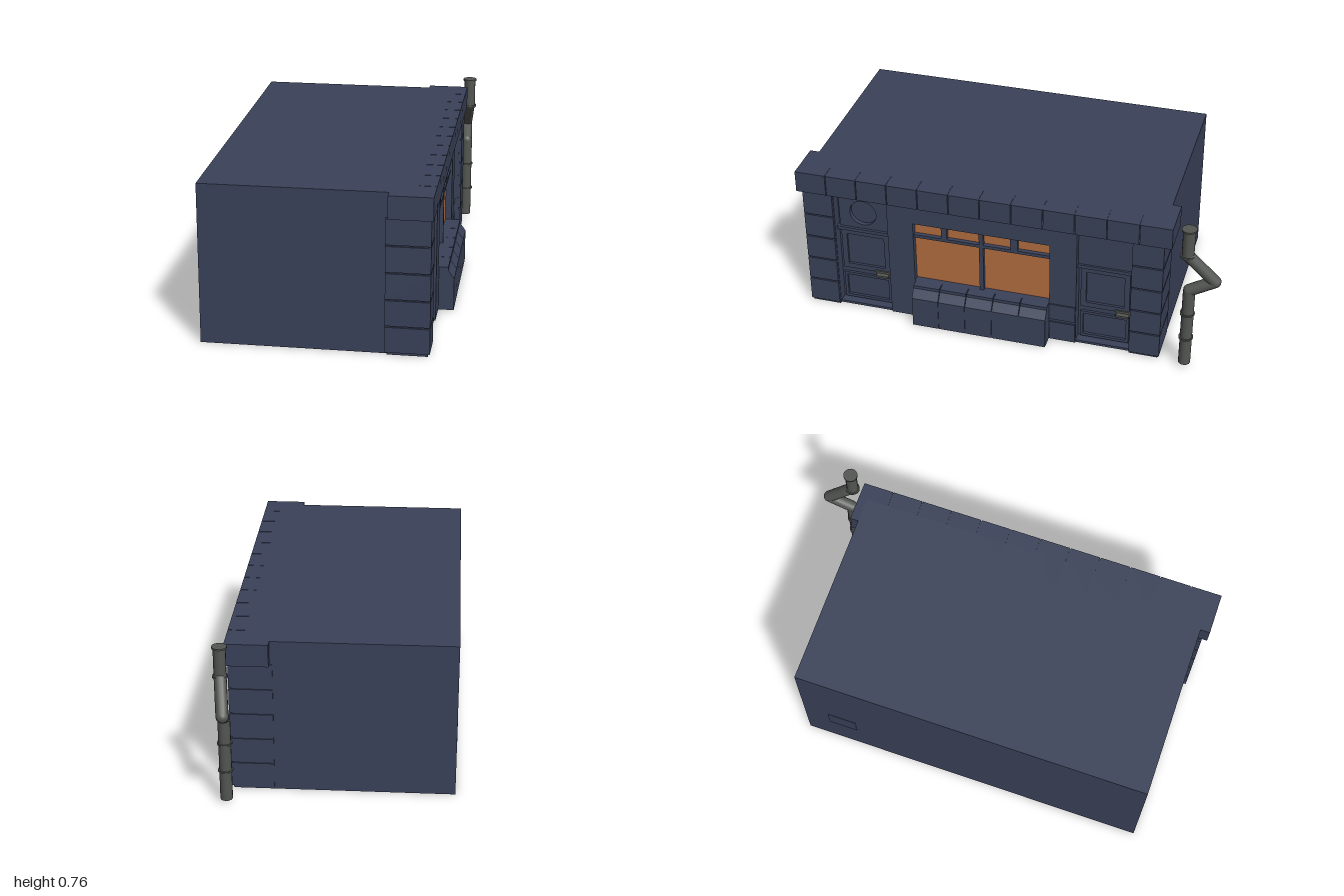
import * as THREE from 'three';

const navy = new THREE.MeshStandardMaterial({ color: 0x3a4259 });
navy.name = 'navy stone';
const amber = new THREE.MeshStandardMaterial({ color: 0xb56e40 });
amber.name = 'amber glass';
const iron = new THREE.MeshStandardMaterial({ color: 0x535652 });
iron.name = 'iron';

function add(parent, name, geometry, material) {
  const mesh = new THREE.Mesh(geometry, material);
  mesh.name = name;
  parent.add(mesh);
  return mesh;
}

// Box given by its limits on each axis
function block(parent, name, x0, x1, y0, y1, z0, z1, material = navy) {
  const g = new THREE.BoxGeometry(x1 - x0, y1 - y0, z1 - z0);
  g.translate((x0 + x1) / 2, (y0 + y1) / 2, (z0 + z1) / 2);
  return add(parent, name, g, material);
}

// Rectangle in the street-facing plane, whose horizontal axis is -z
function rect(z0, z1, y0, y1, Type = THREE.Shape) {
  return new Type([[-z1, y0], [-z0, y0], [-z0, y1], [-z1, y1]].map(p => new THREE.Vector2(...p)));
}

// Shape in the street-facing plane pushed out from x0 to x1
function slab(parent, name, shape, x0, x1) {
  const g = new THREE.ExtrudeGeometry(shape, { depth: x1 - x0, bevelEnabled: false, curveSegments: 16 });
  g.rotateY(Math.PI / 2);
  g.translate(x0, 0, 0);
  return add(parent, name, g, navy);
}

// Raised border around a sunken panel
function panelFrame(parent, name, z0, z1, y0, y1, w, x0, x1) {
  const s = rect(z0, z1, y0, y1);
  s.holes.push(rect(z0 + w, z1 - w, y0 + w, y1 - w, THREE.Path));
  slab(parent, name, s, x0, x1);
}

// Corner column of stacked blocks around a slimmer core
function quoin(parent, z0, z1, outer) {
  const g = new THREE.Group();
  g.name = 'cornerColumn';
  const inset = 0.008;
  block(g, 'columnCore', 0.288, 0.467, 0, 0.63,
    outer < 0 ? z0 + inset : z0, outer < 0 ? z1 : z1 - inset);
  for (let i = 0; i < 5; i++) {
    const y = 0.013 + i * 0.1235;
    block(g, 'columnBlock', 0.28, 0.476, y, y + 0.117, z0, z1);
  }
  parent.add(g);
}

function door(parent, z0, z1, handleZ, round) {
  const g = new THREE.Group();
  g.name = 'door';
  block(g, 'doorStep', 0.41, 0.455, 0, 0.012, z0, z1);
  panelFrame(g, 'lowerPanel', z0 + 0.012, z1 - 0.012, 0.018, 0.162, 0.014, 0.41, 0.422);
  panelFrame(g, 'upperPanel', z0 + 0.012, z1 - 0.012, 0.19, 0.412, 0.026, 0.41, 0.422);
  block(g, 'doorLintel', 0.41, 0.44, 0.418, 0.435, z0, z1);
  if (round) {
    // Transom with a round opening
    const s = rect(z0 + 0.012, z1 - 0.012, 0.437, 0.615);
    const hole = new THREE.Path();
    hole.absarc(-(z0 + z1) / 2, 0.522, 0.065, 0, Math.PI * 2, true);
    s.holes.push(hole);
    slab(g, 'roundTransom', s, 0.41, 0.43);
  } else {
    block(g, 'plainTransom', 0.41, 0.43, 0.435, 0.63, z0, z1);
  }
  block(g, 'handlePlate', 0.41, 0.428, 0.168, 0.2, handleZ - 0.038, handleZ + 0.038, iron);
  block(g, 'handleBar', 0.428, 0.45, 0.179, 0.189, handleZ - 0.03, handleZ + 0.03, iron);
  parent.add(g);
}

function drainpipe(parent) {
  const g = new THREE.Group();
  g.name = 'drainpipe';
  const r = 0.028;
  const path = [[0.493, 0.755, -0.843], [0.493, 0.62, -0.843], [0.472, 0.485, -0.968],
    [0.482, 0.425, -0.857], [0.482, 0.018, -0.855]].map(p => new THREE.Vector3(...p));
  const up = new THREE.Vector3(0, 1, 0);
  for (let i = 0; i < path.length - 1; i++) {
    const dir = path[i].clone().sub(path[i + 1]);
    const tube = add(g, 'pipeLength', new THREE.CylinderGeometry(r, r, dir.length(), 14), iron);
    tube.position.copy(path[i]).add(path[i + 1]).multiplyScalar(0.5);
    tube.quaternion.setFromUnitVectors(up, dir.normalize());
    if (i > 0) add(g, 'pipeElbow', new THREE.SphereGeometry(r, 14, 10), iron).position.copy(path[i]);
  }
  // Rim and collars
  for (const [x, y, z, h] of [[0.493, 0.756, -0.843, 0.008], [0.493, 0.617, -0.843, 0.01],
    [0.482, 0.297, -0.855, 0.008], [0.482, 0.162, -0.855, 0.008]]) {
    add(g, 'pipeCollar', new THREE.CylinderGeometry(0.034, 0.034, h, 14), iron).position.set(x, y, z);
  }
  parent.add(g);
}

export function createModel() {
  const model = new THREE.Group();
  model.name = 'shopBuilding';

  // Main volume and rear hatch
  block(model, 'buildingBody', -0.535, 0.41, 0, 0.735, -0.73, 0.955);
  block(model, 'rearHatch', -0.537, -0.53, 0.2, 0.31, -0.607, -0.467);

  // Front wall with two door openings and the window opening
  const wall = new THREE.Shape([[-0.955, 0], [-0.83, 0], [-0.83, 0.63], [-0.57, 0.63], [-0.57, 0],
    [0.335, 0], [0.335, 0.63], [0.59, 0.63], [0.59, 0], [0.73, 0], [0.73, 0.733], [-0.955, 0.733]]
    .map(p => new THREE.Vector2(...p)));
  wall.holes.push(rect(-0.208, 0.445, 0.21, 0.53, THREE.Path));
  slab(model, 'frontWall', wall, 0.41, 0.462);

  quoin(model, -0.735, -0.592, -1);
  quoin(model, 0.832, 0.975, 1);

  // Cornice: a core with slightly raised blocks
  block(model, 'corniceCore', 0.295, 0.48, 0.632, 0.733, -0.767, 0.997);
  const count = 12, step = 1.77 / count;
  for (let i = 0; i < count; i++) {
    const z = -0.77 + i * step;
    block(model, 'corniceBlock', 0.292, 0.486, 0.63, 0.735,
      z + (i ? 0.002 : 0), z + step - (i < count - 1 ? 0.002 : 0));
  }

  // Doors
  door(model, 0.57, 0.83, 0.618, true);
  door(model, -0.59, -0.335, -0.55, false);

  // Window glass and glazing bars
  const win = new THREE.Group();
  win.name = 'shopWindow';
  block(win, 'windowGlass', 0.425, 0.432, 0.21, 0.53, -0.208, 0.445, amber);
  block(win, 'transomBar', 0.43, 0.452, 0.449, 0.465, -0.208, 0.445);
  block(win, 'centreBar', 0.43, 0.452, 0.21, 0.53, 0.11, 0.13);
  block(win, 'upperBar', 0.43, 0.452, 0.457, 0.53, 0.284, 0.312);
  block(win, 'upperBar', 0.43, 0.452, 0.457, 0.53, -0.054, -0.02);
  model.add(win);

  // Sloped stall riser under the window, in five sections
  const riser = new THREE.Shape([[0.45, 0], [0.533, 0], [0.533, 0.155], [0.505, 0.195],
    [0.505, 0.21], [0.45, 0.21]].map(p => new THREE.Vector2(...p)));
  for (let i = 0; i < 5; i++) {
    const g = new THREE.ExtrudeGeometry(riser, { depth: 0.127, bevelEnabled: false });
    g.translate(0, 0, -0.207 + i * 0.13);
    add(model, 'stallRiser', g, navy);
  }
  block(model, 'riserCore', 0.45, 0.529, 0, 0.155, -0.205, 0.438);

  // Low wall panels beside the riser
  block(model, 'lowPanel', 0.46, 0.468, 0.12, 0.205, -0.333, -0.209);
  block(model, 'lowPanel', 0.46, 0.468, 0.005, 0.105, -0.333, -0.209);

  drainpipe(model);
  return model;
}
